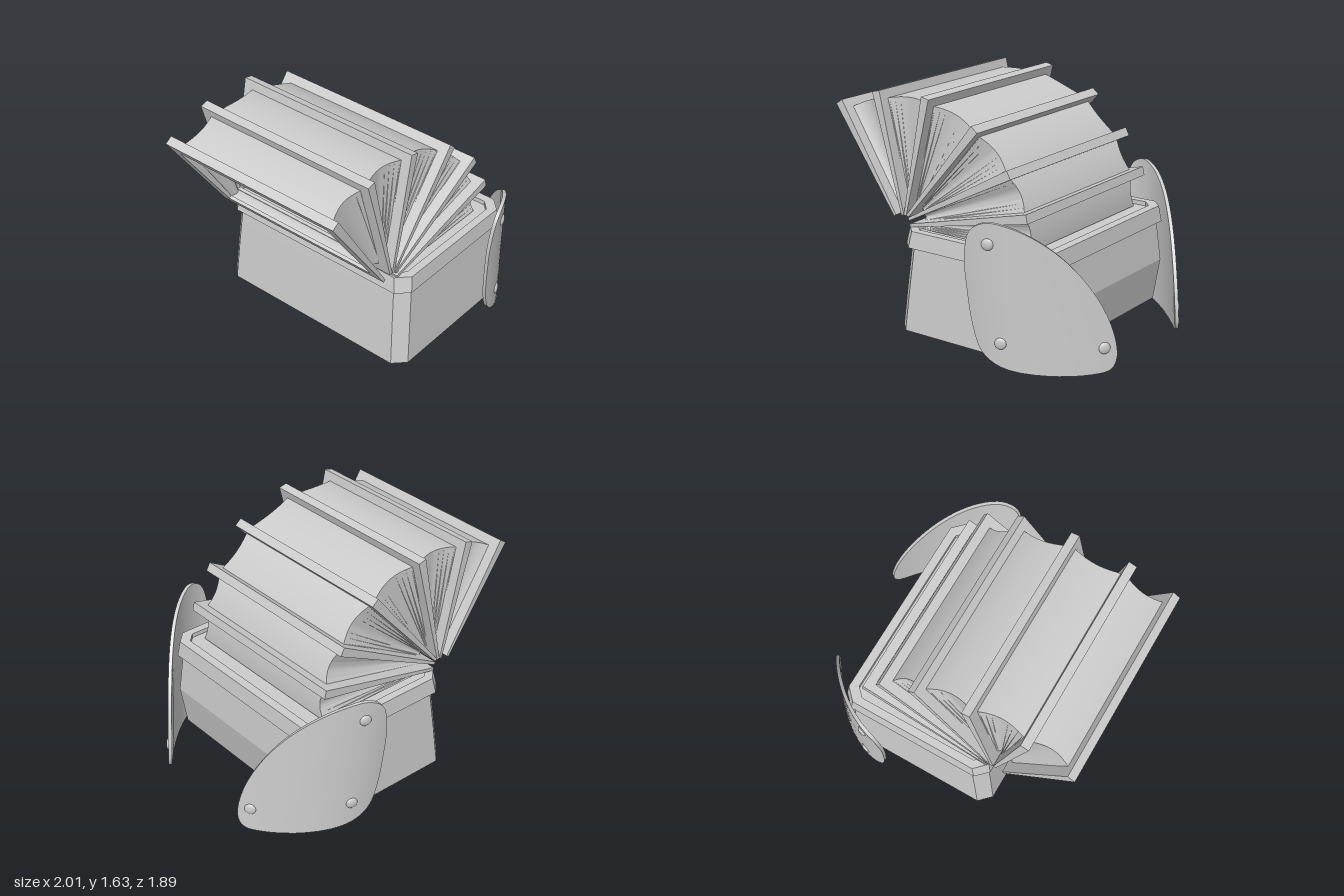
import * as THREE from 'three';
import { toCreasedNormals } from 'three/addons/utils/BufferGeometryUtils.js';

const grey = new THREE.MeshStandardMaterial({ color: 0xcccccc });
const thin = new THREE.MeshStandardMaterial({ color: 0xcccccc, side: THREE.DoubleSide });

// Skin a list of closed rings (Vector3 arrays), keeping sharp creases
function loft(rings, crease) {
  const pos = [];
  const tri = (a, b, c) => {
    if (new THREE.Triangle(a, b, c).getArea() > 1e-9) {
      for (const p of [a, b, c]) pos.push(p.x, p.y, p.z);
    }
  };
  for (let i = 0; i < rings.length - 1; i++) {
    const n = rings[i].length;
    for (let j = 0; j < n; j++) {
      const k = (j + 1) % n;
      tri(rings[i][j], rings[i][k], rings[i + 1][k]);
      tri(rings[i][j], rings[i + 1][k], rings[i + 1][j]);
    }
  }
  const g = new THREE.BufferGeometry();
  g.setAttribute('position', new THREE.Float32BufferAttribute(pos, 3));
  return toCreasedNormals(g, crease);
}

function addMesh(parent, name, geometry, material = grey) {
  const mesh = new THREE.Mesh(geometry, material);
  mesh.name = name;
  parent.add(mesh);
  return mesh;
}

// Rectangle with cut corners, counter-clockwise from above
function cutRect(y, x0, x1, h, c) {
  return [[x1 - c, h], [x1, h - c], [x1, c - h], [x1 - c, -h],
    [x0 + c, -h], [x0, c - h], [x0, h - c], [x0 + c, h]]
    .map(([x, z]) => new THREE.Vector3(x, y, z));
}

// Box body with a recessed underside and a collar round the top
function bodyGeometry() {
  const centre = y => Array.from({ length: 8 }, () => new THREE.Vector3(0.1, y, 0));
  return loft([
    centre(0.13),
    cutRect(0.13, -0.39, 0.55, 0.70, 0.06),
    cutRect(0.08, -0.39, 0.55, 0.70, 0.06),
    cutRect(0.08, -0.46, 0.62, 0.77, 0.08),
    cutRect(0.38, -0.43, 0.68, 0.752, 0.08),
    cutRect(0.65, -0.40, 0.65, 0.735, 0.08),
    cutRect(0.65, -0.43, 0.675, 0.76, 0.08),
    cutRect(0.76, -0.41, 0.66, 0.745, 0.08),
    cutRect(0.76, -0.37, 0.60, 0.69, 0.06),
    cutRect(0.73, -0.37, 0.60, 0.69, 0.06),
    centre(0.73),
  ], 0.05);
}

// Bellows frames as side-on lines, inner end to outer end; the last lies on the collar
const V2 = (x, y) => new THREE.Vector2(x, y);
const pivot = V2(-0.44, 0.81);
const lines = [
  [-0.525, 0.815, -0.98, 1.51],
  [-0.46, 0.83, -0.66, 1.62],
  [-0.44, 0.83, -0.255, 1.625],
  [-0.42, 0.83, 0.13, 1.48],
  [-0.41, 0.81, 0.39, 1.235],
  [-0.40, 0.77, 0.525, 0.98],
  [-0.40, 0.74, 0.55, 0.74],
].map(([a, b, c, d]) => ({ inner: V2(a, b), outer: V2(c, d) }));

// Open rectangular frame, wedge-shaped from thin pivot edge to thick outer edge
function frameGeometry({ inner, outer }) {
  const dir = outer.clone().sub(inner), len = dir.length();
  dir.normalize();
  const rect = (path, r0, r1, h) => path.moveTo(r0, -h).lineTo(r1, -h).lineTo(r1, h).lineTo(r0, h).closePath();
  const shape = rect(new THREE.Shape(), 0, len, 0.68);
  shape.holes.push(rect(new THREE.Path(), 0.07, len - 0.07, 0.6));
  const g = new THREE.ExtrudeGeometry(shape, { depth: 1, bevelEnabled: false });
  const p = g.attributes.position;
  for (let i = 0; i < p.count; i++) {
    const r = p.getX(i), z = p.getY(i);
    const t = (0.5 - p.getZ(i)) * (0.02 + 0.04 * r / len);
    p.setXYZ(i, inner.x + dir.x * r - dir.y * t, inner.y + dir.y * r + dir.x * t, z);
  }
  g.computeVertexNormals();
  return g;
}

// Cloth fold between two frames: swings round the pivot, its sides sagging inward
function foldGeometry(from, to) {
  const polar = (line, fromInner, inset) => {
    const d = line.outer.clone().sub(line.inner).normalize();
    const p = fromInner ? line.inner.clone().addScaledVector(d, inset)
      : line.outer.clone().addScaledVector(d, -inset);
    p.sub(pivot);
    return V2(p.length(), Math.atan2(p.y, p.x));
  };
  const in0 = polar(from, true, 0.06), in1 = polar(to, true, 0.06);
  const out0 = polar(from, false, 0.06), out1 = polar(to, false, 0.06);
  const rings = [];
  for (let i = 0; i <= 10; i++) {
    const t = i / 10, h = 0.62 - 0.04 * Math.sin(Math.PI * t);
    const at = (a, b, z) => {
      const q = a.clone().lerp(b, t);
      return new THREE.Vector3(pivot.x + q.x * Math.cos(q.y), pivot.y + q.x * Math.sin(q.y), z);
    };
    rings.push([at(in0, in1, -h), at(out0, out1, -h), at(out0, out1, h), at(in0, in1, h)]);
  }
  return loft(rings, 0.6);
}

// Curved corner guard: an outline in x and y bent round the body corner
const bend = (x, y) => 0.905 - (x - 0.24) ** 2 + 0.22 * (y - 0.5) * (0.6 - x);
function bendNormal(x, y) {
  const e = 0.01;
  return new THREE.Vector3(
    (bend(x - e, y) - bend(x + e, y)) / (2 * e),
    (bend(x, y - e) - bend(x, y + e)) / (2 * e), 1).normalize();
}
const guardPoint = (x, y, off, side) => {
  const p = bendNormal(x, y).multiplyScalar(off).add(new THREE.Vector3(x, y, bend(x, y)));
  p.z *= side;
  return p;
};
const outline = new THREE.CatmullRomCurve3([
  [0.39, 0.995], [0.52, 0.965], [0.65, 0.88], [0.78, 0.73], [0.90, 0.5], [0.975, 0.25],
  [0.99, 0.08], [0.965, 0.02], [0.90, 0.005], [0.70, 0.015], [0.45, 0.065],
  [0.335, 0.15], [0.28, 0.3], [0.25, 0.55], [0.245, 0.77], [0.29, 0.94],
].map(([x, y]) => new THREE.Vector3(x, y, 0)), true).getPoints(64).slice(0, 64);

function guardGeometry(side) {
  const edge = side > 0 ? outline : outline.slice().reverse();
  const ring = (s, off) => edge.map(p =>
    guardPoint(0.57 + (p.x - 0.57) * s, 0.45 + (p.y - 0.45) * s, off, side));
  const rings = [];
  for (let i = 0; i <= 8; i++) rings.push(ring(i / 8, 0.012));
  for (let i = 8; i >= 0; i--) rings.push(ring(i / 8, -0.012));
  return loft(rings, 0.7);
}

export function createModel() {
  const model = new THREE.Group();
  model.name = 'bellowsBox';
  addMesh(model, 'body', bodyGeometry());

  const bellows = new THREE.Group();
  bellows.name = 'bellows';
  model.add(bellows);
  for (let i = 0; i < 6; i++) {
    addMesh(bellows, 'bellowsFrame', frameGeometry(lines[i]));
    addMesh(bellows, 'bellowsFold', foldGeometry(lines[i], lines[i + 1]), thin);
  }

  // Guards with three domed rivets each
  const rivet = new THREE.SphereGeometry(0.038, 20, 12);
  rivet.scale(1, 1, 0.4);
  for (const side of [1, -1]) {
    const guard = new THREE.Group();
    guard.name = side > 0 ? 'frontGuard' : 'backGuard';
    model.add(guard);
    addMesh(guard, 'guardPlate', guardGeometry(side));
    for (const [x, y] of [[0.395, 0.86], [0.455, 0.22], [0.94, 0.17]]) {
      const m = addMesh(guard, 'rivet', rivet);
      m.position.copy(guardPoint(x, y, 0.012, side));
      m.lookAt(guardPoint(x, y, 1, side));
    }
  }
  return model;
}
